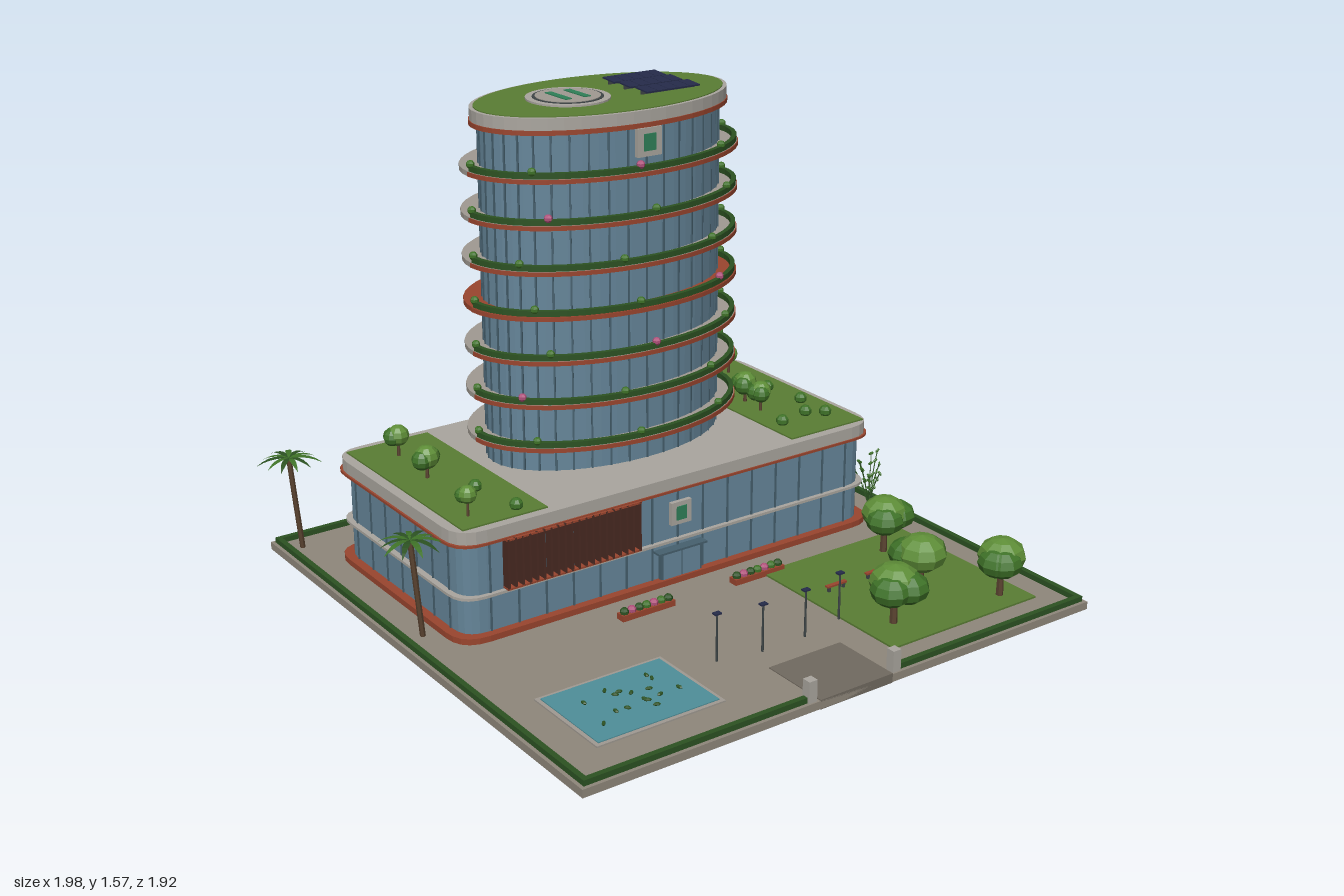
import * as THREE from 'three';

const mats = {};
const mat = (color) => (mats[color] ??= new THREE.MeshStandardMaterial({ color, flatShading: true, side: THREE.DoubleSide }));
const C = { paving: 0x8f877b, concrete: 0xaaa69f, slab: 0xa09a92, glass: 0x66869a, mullion: 0x46606e, red: 0x9a452e,
  lawn: 0x5a7d34, hedge: 0x2c5222, leaf: 0x3f7328, leafLight: 0x5f8f38, trunk: 0x5a4330, water: 0x4f8f9a,
  drive: 0x716a60, solar: 0x252b4a, green: 0x2f8058, dark: 0x3d4446, pink: 0xb0507a, fin: 0x4a2a22 };

export function createModel() {
  const root = new THREE.Group();
  let seed = 7;
  const rnd = () => (seed = (seed * 16807) % 2147483647) / 2147483647;

  const add = (name, geo, color, parent = root) => {
    const m = new THREE.Mesh(geo, mat(color));
    m.name = name;
    parent.add(m);
    return m;
  };
  const group = (name, x = 0, y = 0, z = 0) => {
    const g = new THREE.Group();
    g.name = name;
    g.position.set(x, y, z);
    root.add(g);
    return g;
  };
  // Box given by its limits on each axis
  const box = (name, x0, x1, y0, y1, z0, z1, color, parent) =>
    add(name, new THREE.BoxGeometry(x1 - x0, y1 - y0, z1 - z0)
      .translate((x0 + x1) / 2, (y0 + y1) / 2, (z0 + z1) / 2), color, parent);
  // Horizontal slab extruded from a plan shape (shape y = -z)
  const slab = (name, shape, y0, y1, color, parent) =>
    add(name, new THREE.ExtrudeGeometry(shape, { depth: y1 - y0, bevelEnabled: false, curveSegments: 5 })
      .rotateX(-Math.PI / 2).translate(0, y0, 0), color, parent);
  const roundRect = (hx, hz, r) => {
    const s = new THREE.Shape();
    s.moveTo(-hx + r, -hz);
    s.lineTo(hx - r, -hz); s.quadraticCurveTo(hx, -hz, hx, -hz + r);
    s.lineTo(hx, hz - r); s.quadraticCurveTo(hx, hz, hx - r, hz);
    s.lineTo(-hx + r, hz); s.quadraticCurveTo(-hx, hz, -hx, hz - r);
    s.lineTo(-hx, -hz + r); s.quadraticCurveTo(-hx, -hz, -hx + r, -hz);
    return s;
  };
  const ellipse = (name, a, b, y0, y1, color, parent) =>
    add(name, new THREE.CylinderGeometry(1, 1, y1 - y0, 48).scale(a, 1, b).translate(0, (y0 + y1) / 2, 0), color, parent);
  // Front half of an elliptical ring
  const halfRing = (a, b, w) => {
    const pts = [];
    for (let i = 0; i <= 24; i++) {
      const t = Math.PI * (1 + i / 24);
      pts.push(new THREE.Vector2(a * Math.cos(t), b * Math.sin(t)));
    }
    for (let i = 24; i >= 0; i--) {
      const t = Math.PI * (1 + i / 24);
      pts.push(new THREE.Vector2((a - w) * Math.cos(t), (b - w) * Math.sin(t)));
    }
    return new THREE.Shape(pts);
  };

  // Site: ground plate, boundary hedges, gate, lawn, pool
  const X0 = -0.92, X1 = 0.995, Z = 0.955;
  box('ground', X0, X1, 0.004, 0.03, -Z, Z, C.paving);
  box('backHedge', X0 + 0.012, X1 - 0.012, 0.03, 0.048, -Z + 0.012, -Z + 0.03, C.hedge);
  box('sideHedge', X0 + 0.012, X0 + 0.03, 0.03, 0.048, -Z + 0.012, Z - 0.012, C.hedge);
  box('sideHedge', X1 - 0.03, X1 - 0.012, 0.03, 0.048, -Z + 0.012, Z - 0.012, C.hedge);
  box('frontHedge', X0 + 0.012, -0.14, 0.03, 0.048, Z - 0.03, Z - 0.012, C.hedge);
  box('frontHedge', 0.21, X1 - 0.012, 0.03, 0.048, Z - 0.03, Z - 0.012, C.hedge);
  for (const x of [-0.125, 0.195]) box('gatePost', x - 0.015, x + 0.015, 0.03, 0.1, Z - 0.035, Z - 0.005, C.concrete);
  box('driveway', -0.1, 0.175, 0.002, 0.033, 0.715, Z, C.drive);
  box('gardenLawn', 0.28, 0.88, 0.002, 0.036, 0.2, 0.84, C.lawn);
  box('poolEdge', -0.77, -0.325, 0.004, 0.035, 0.475, 0.8, C.slab);
  box('poolWater', -0.757, -0.338, 0.002, 0.038, 0.488, 0.787, C.water);
  for (let i = 0; i < 16; i++) {
    const x = -0.69 + 0.32 * rnd(), z = 0.53 + 0.2 * rnd();
    const pad = add('poolPlant', new THREE.SphereGeometry(0.012, 6, 4).scale(1, 0.5, 0.5), C.hedge);
    pad.position.set(x, 0.041, z);
    pad.rotation.y = rnd() * 3;
  }
  for (const x of [0.395, 0.56, 0.71]) {
    box('benchSeat', x - 0.04, x + 0.04, 0.052, 0.058, 0.428, 0.442, C.red);
    for (const s of [-0.03, 0.03]) box('benchLeg', x + s - 0.004, x + s + 0.004, 0.036, 0.052, 0.43, 0.44, C.dark);
  }
  for (const x of [-0.185, 0.255]) {
    box('planterBox', x - 0.1, x + 0.1, 0.03, 0.05, 0.188, 0.222, C.red);
    for (let i = 0; i < 7; i++)
      add('planterShrub', new THREE.SphereGeometry(0.015, 7, 5), i === 1 || i === 4 ? C.pink : i % 2 ? C.leaf : C.hedge)
        .position.set(x - 0.084 + i * 0.028, 0.055, 0.205);
  }
  for (const [x, z] of [[-0.2, 0.59], [-0.05, 0.62], [0.115, 0.62], [0.275, 0.59]]) {
    add('lampPost', new THREE.CylinderGeometry(0.003, 0.004, 0.16, 6), C.dark).position.set(x, 0.11, z);
    box('lampPanel', x - 0.012, x + 0.012, 0.186, 0.191, z - 0.009, z + 0.009, C.solar);
  }

  // Podium
  const pod = group('podium', 0.035, 0, -0.325);
  slab('podiumPlinth', roundRect(0.82, 0.418, 0.1), 0.001, 0.05, C.red, pod);
  slab('podiumGlass', roundRect(0.79, 0.39, 0.08), 0.04, 0.355, C.glass, pod);
  slab('podiumBand', roundRect(0.81, 0.405, 0.09), 0.17, 0.179, C.concrete, pod);
  slab('podiumSoffit', roundRect(0.822, 0.412, 0.1), 0.348, 0.356, C.red, pod);
  slab('podiumRoof', roundRect(0.815, 0.407, 0.1), 0.354, 0.397, C.concrete, pod);
  for (let i = 0; i <= 14; i++)
    for (const s of [-1, 1]) {
      const x = -0.7 + i * 0.1;
      box('podiumMullion', x - 0.003, x + 0.003, 0.05, 0.35, s * 0.39 - 0.004, s * 0.39 + 0.004, C.mullion, pod);
    }
  for (let i = 0; i <= 6; i++)
    for (const s of [-1, 1]) {
      const z = -0.3 + i * 0.1;
      box('podiumMullion', s * 0.79 - 0.004, s * 0.79 + 0.004, 0.05, 0.35, z - 0.003, z + 0.003, C.mullion, pod);
    }
  box('roofLawn', -0.745, -0.445, 0.39, 0.402, -0.7, 0.05, C.lawn);
  box('roofLawn', 0.515, 0.825, 0.39, 0.402, -0.7, 0.05, C.lawn);
  // Sunscreen fins, entrance and plain sign panels
  for (let i = 0; i < 20; i++) {
    const x = -0.615 + i * 0.0255;
    box('sunscreenFin', x - 0.004, x + 0.004, 0.185, 0.352, 0.066, 0.096, C.fin);
  }
  for (const y of [0.183, 0.346]) box('sunscreenRail', -0.62, -0.125, y, y + 0.006, 0.066, 0.096, C.red);
  box('entranceDoor', -0.04, 0.12, 0.04, 0.145, 0.06, 0.082, C.mullion);
  box('entranceDoorGlass', -0.032, 0.037, 0.045, 0.138, 0.08, 0.085, C.glass);
  box('entranceDoorGlass', 0.043, 0.112, 0.045, 0.138, 0.08, 0.085, C.glass);
  box('entranceCanopy', -0.06, 0.13, 0.145, 0.152, 0.06, 0.1, C.mullion);
  const sign = (y, z, h) => {
    box('signPanel', 0.035 - h, 0.035 + h, y - h, y + h, z - 0.015, z, C.concrete);
    box('signInset', 0.035 - h * 0.5, 0.035 + h * 0.5, y - h * 0.6, y + h * 0.6, z - 0.01, z + 0.003, C.green);
  };
  sign(0.272, 0.088, 0.039);
  sign(1.45, -0.085, 0.045);

  // Elliptical tower with mullions and ringed balconies
  const tower = group('tower', 0.038, 0, -0.36);
  ellipse('towerGlass', 0.428, 0.252, 0.39, 1.51, C.glass, tower);
  for (let i = 0; i < 40; i++) {
    const t = (i / 40) * Math.PI * 2;
    const m = add('towerMullion', new THREE.BoxGeometry(0.006, 1.11, 0.006), C.mullion, tower);
    m.position.set(0.428 * Math.cos(t), 0.95, 0.252 * Math.sin(t));
    m.rotation.y = -t;
  }
  for (let i = 0; i < 7; i++) {
    const y = 0.49 + i * 0.1455;
    ellipse('balconySlab', 0.49, 0.315, y - 0.008, y + 0.008, i === 3 ? C.red : C.slab, tower);
    slab('balconyTrim', halfRing(0.493, 0.318, 0.01), y - 0.007, y + 0.007, C.red, tower);
    slab('balconyHedge', halfRing(0.488, 0.313, 0.016), y + 0.007, y + 0.026, C.hedge, tower);
    for (let k = 0; k < 5; k++) {
      const t = (k * Math.PI) / 4 + (k % 4 ? ((i + 1) % 3) * 0.12 : 0);
      add('balconyShrub', new THREE.SphereGeometry(0.014, 7, 5), (k + i) % 4 === 0 && k % 4 ? C.pink : C.leaf, tower)
        .position.set(0.481 * Math.cos(t), y + 0.029, 0.306 * Math.sin(t));
    }
  }
  // Roof crown, landing pad and solar panels
  ellipse('crownTrim', 0.458, 0.276, 1.497, 1.512, C.red, tower);
  ellipse('crown', 0.455, 0.273, 1.51, 1.55, C.concrete, tower);
  ellipse('roofGarden', 0.442, 0.26, 1.545, 1.553, C.lawn, tower);
  const pad = group('landingPad', -0.085, 1.553, -0.36);
  for (const [r, h, c] of [[0.135, 0.006, C.concrete], [0.113, 0.008, C.dark], [0.104, 0.01, C.slab]])
    add('padDisc', new THREE.CylinderGeometry(r, r, h, 32), c, pad).position.y = h / 2;
  for (const x of [-0.035, 0.035]) box('padMarking', x - 0.012, x + 0.012, 0.009, 0.013, -0.06, 0.06, C.green, pad);
  for (const z of [-0.452, -0.362, -0.268]) {
    for (let i = 0; i < 5; i++) {
      const p = add('solarPanel', new THREE.BoxGeometry(0.039, 0.005, 0.066), C.solar);
      p.position.set(0.15 + i * 0.0415, 1.567, z);
      p.rotation.x = 0.08;
    }
    box('solarRail', 0.13, 0.335, 1.55, 1.564, z - 0.003, z + 0.003, C.dark);
  }

  // Broadleaf trees: trunk plus overlapping flattened crowns
  const tree = (name, x, y, z, r, h, squash) => {
    const g = group(name, x, y, z);
    add('trunk', new THREE.CylinderGeometry(r * 0.09, r * 0.13, h, 6), C.trunk, g).position.y = h / 2;
    for (let i = 0; i < 3; i++) {
      const s = i ? r * 0.68 : r * 0.82, t = rnd() * 6.28, d = i ? r * 0.42 : 0;
      add('crown', new THREE.SphereGeometry(s, 9, 6).scale(1, squash, 1), i ? C.leaf : C.leafLight, g)
        .position.set(d * Math.cos(t), h - (i ? r * 0.1 : 0), d * Math.sin(t));
    }
  };
  for (const [x, z, r] of [[0.71, 0.305, 0.095], [0.6, 0.605, 0.1], [0.39, 0.715, 0.1], [0.795, 0.765, 0.095]])
    tree('gardenTree', x, 0.03, z, r, 0.145, 0.75);
  for (const [x, z, r] of [[-0.62, -0.575, 0.045], [-0.635, -0.36, 0.05], [-0.68, -0.03, 0.037],
    [0.73, -0.58, 0.04], [0.6, -0.315, 0.05], [0.59, -0.215, 0.045]])
    tree('roofTree', x, 0.4, z, r, 0.073, 0.95);
  for (const [x, z] of [[-0.56, -0.19], [-0.53, 0.005], [0.735, -0.36], [0.755, -0.2], [0.69, -0.095], [0.57, -0.07], [0.745, -0.055]])
    add('roofShrub', new THREE.SphereGeometry(0.022, 8, 5), C.leaf).position.set(x, 0.415, z);

  // Palms: leaning trunk with drooping tapered fronds
  const frond = (len) => {
    const g = new THREE.PlaneGeometry(len, 1, 5, 1).rotateX(-Math.PI / 2).translate(len / 2, 0, 0), p = g.attributes.position;
    for (let i = 0; i < p.count; i++) {
      const u = p.getX(i) / len;
      p.setY(i, len * (0.35 * u - 0.5 * u * u));
      p.setZ(i, p.getZ(i) * len * 0.2 * Math.sin(Math.PI * (0.12 + 0.86 * u)));
    }
    g.computeVertexNormals();
    return g;
  };
  const palm = (x, z, h, len, lean) => {
    const g = group('palm', x, 0.03, z);
    const path = new THREE.QuadraticBezierCurve3(new THREE.Vector3(-lean, 0, 0), new THREE.Vector3(-lean * 0.4, h * 0.5, 0.005), new THREE.Vector3(0, h, 0));
    add('palmTrunk', new THREE.TubeGeometry(path, 8, 0.009, 6), C.trunk, g);
    for (let i = 0; i < 11; i++) {
      const f = add('palmFrond', frond(len * (0.85 + 0.2 * rnd())), i % 2 ? C.hedge : C.leaf, g);
      f.position.y = h;
      f.rotation.y = (i / 11) * Math.PI * 2;
    }
  };
  palm(-0.88, -0.855, 0.33, 0.105, -0.03);
  palm(-0.865, -0.06, 0.33, 0.105, -0.03);
  palm(0.9, -0.855, 0.06, 0.075, 0);

  // Sparse slender shrub beside the podium
  const shrub = group('slenderShrub', 0.91, 0.03, 0.0);
  for (let i = 0; i < 8; i++) {
    const t = i * 0.785, d = 0.025 + 0.03 * rnd(), h = 0.14 + 0.08 * rnd();
    const path = new THREE.QuadraticBezierCurve3(new THREE.Vector3(), new THREE.Vector3(d * 0.3 * Math.cos(t), h * 0.6, d * 0.3 * Math.sin(t)),
      new THREE.Vector3(d * Math.cos(t), h, d * Math.sin(t)));
    add('shrubStem', new THREE.TubeGeometry(path, 5, 0.0025, 4), C.hedge, shrub);
    for (const u of [0.55, 0.8, 1]) {
      const leaf = add('shrubLeaf', new THREE.SphereGeometry(0.011, 5, 3).scale(1, 0.5, 0.4), C.leaf, shrub);
      leaf.position.copy(path.getPoint(u));
      leaf.rotation.set(0, t, 0.6);
    }
  }
  return root;
}
